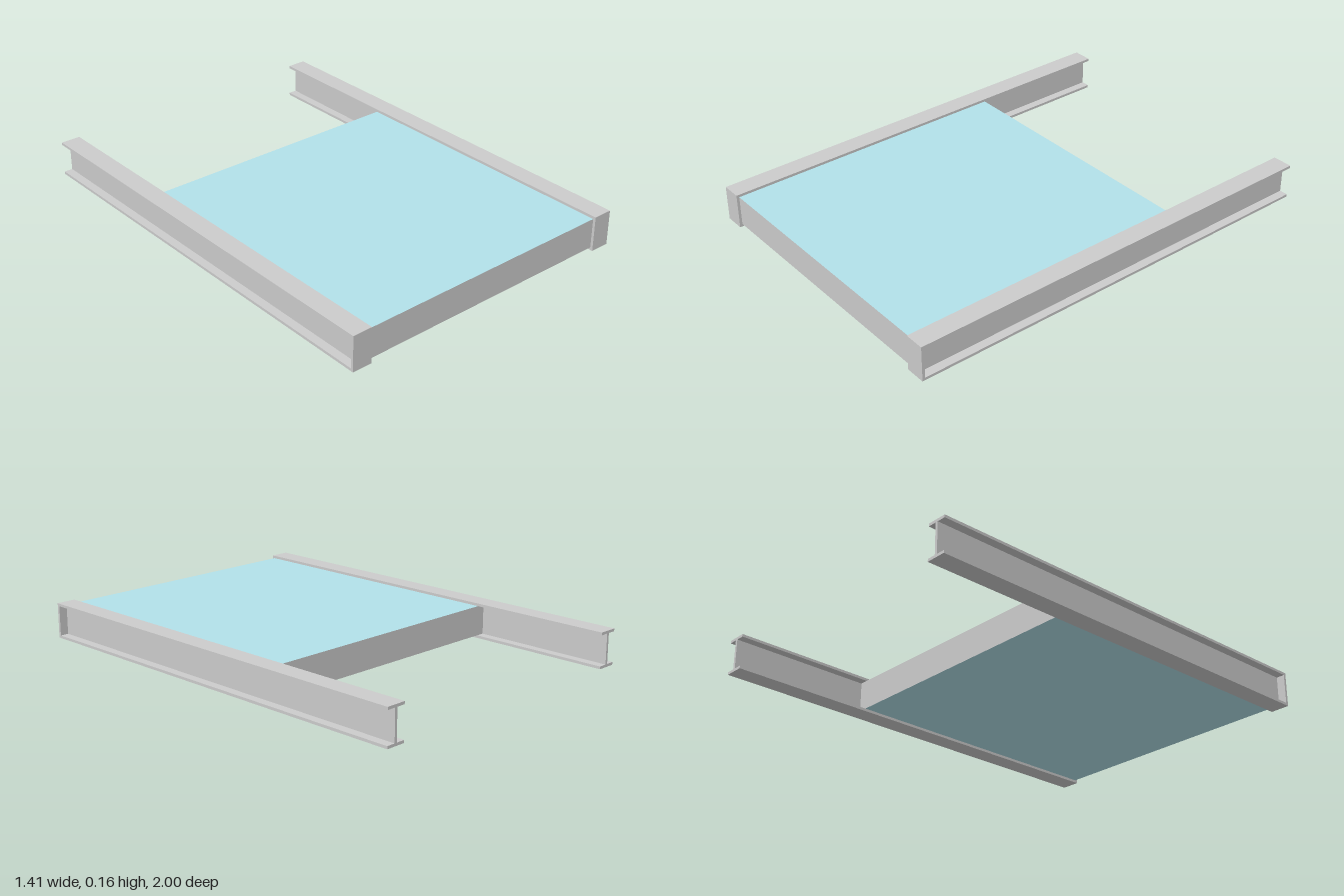
import * as THREE from 'three';

const grey = new THREE.MeshStandardMaterial({ color: 0xcccccc });
const teal = new THREE.MeshStandardMaterial({ color: 0xb2e1ea });

const HEIGHT = 0.16, FLANGE = 0.012, WIDTH = 0.09, WEB = 0.012;
const BEAM_X = 0.66, PLATE = 0.012;

function box(name, size, pos, material = grey) {
  const mesh = new THREE.Mesh(new THREE.BoxGeometry(...size), material);
  mesh.name = name;
  mesh.position.set(...pos);
  return mesh;
}

// I-section rail running along z, closed by a plate at the front
function createRail(name, x) {
  const w = WIDTH / 2, t = WEB / 2, h = HEIGHT, f = FLANGE;
  const section = new THREE.Shape([
    [-w, 0], [w, 0], [w, f], [t, f], [t, h - f], [w, h - f],
    [w, h], [-w, h], [-w, h - f], [-t, h - f], [-t, f], [-w, f],
  ].map(([px, py]) => new THREE.Vector2(px, py)));
  const geometry = new THREE.ExtrudeGeometry(section, { depth: 2 - PLATE, bevelEnabled: false });
  geometry.translate(0, 0, -1);

  const beam = new THREE.Mesh(geometry, grey);
  beam.name = 'iBeam';
  const rail = new THREE.Group();
  rail.name = name;
  rail.position.x = x;
  rail.add(beam, box('endPlate', [WIDTH, h, PLATE], [0, h / 2, 1 - PLATE / 2]));
  return rail;
}

export function createModel() {
  const model = new THREE.Group();
  model.name = 'railedDeck';

  model.add(createRail('leftRail', BEAM_X), createRail('rightRail', -BEAM_X));

  // Deck fitted between the webs: coloured top and bottom, grey edges
  const back = -0.34, front = 1 - PLATE;
  model.add(box('deckPanel',
    [2 * BEAM_X - WEB, HEIGHT - 2 * FLANGE, front - back],
    [0, HEIGHT / 2, (front + back) / 2],
    [grey, grey, teal, teal, grey, grey]));

  return model;
}
